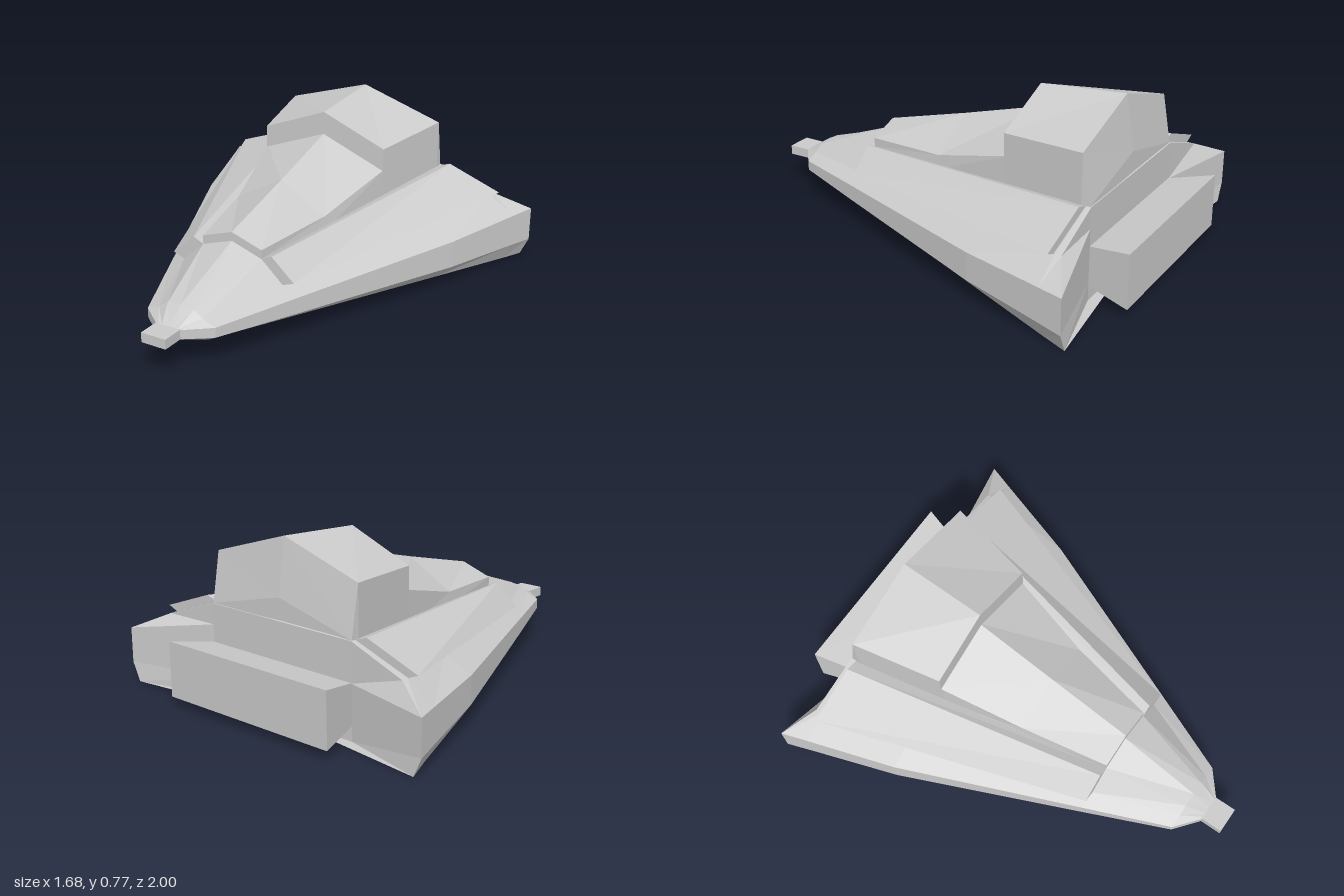
import * as THREE from 'three';

const material = new THREE.MeshStandardMaterial({ color: 0xcccccc, flatShading: true });

// Skin a list of rings (front to back, clockwise seen from the front) and cap both ends.
function loft(name, rings) {
  const pos = [];
  const tri = (...pts) => pts.forEach((p) => pos.push(...p));
  const n = rings[0].length;
  for (let i = 0; i < rings.length - 1; i++) {
    for (let j = 0; j < n; j++) {
      const k = (j + 1) % n;
      const [a, b, c, d] = [rings[i][j], rings[i][k], rings[i + 1][j], rings[i + 1][k]];
      tri(a, b, c);
      tri(b, d, c);
    }
  }
  const front = rings[0], back = rings[rings.length - 1];
  for (let j = 1; j < n - 1; j++) {
    tri(front[0], front[j + 1], front[j]);
    tri(back[0], back[j], back[j + 1]);
  }
  const geometry = new THREE.BufferGeometry();
  geometry.setAttribute('position', new THREE.Float32BufferAttribute(pos, 3));
  geometry.computeVertexNormals();
  const mesh = new THREE.Mesh(geometry, material);
  mesh.name = name;
  return mesh;
}

// Half section from top centre to bottom centre; a point may override the station's z.
const section = (z, half) => {
  const right = half.map(([x, y, pz = z]) => [x, y, pz]);
  const left = right.slice(1, -1).reverse().map(([x, y, pz]) => [-x, y, pz]);
  return [...right, ...left];
};
const mirrorRing = (ring) => ring.map(([x, y, z]) => [-x, y, z]).reverse();
const boxSection = (z, w, y0, y1) => section(z, [[0, y1], [w, y1], [w, y0], [0, y0]]);

export function createModel() {
  const model = new THREE.Group();

  // Wedge hull; the last section closes the swept-forward stern
  model.add(loft('hull', [
    section(0.9, [[0, 0.187], [0.03, 0.187], [0.05, 0.187], [0.06, 0.185], [0.06, 0.143], [0.05, 0.141], [0, 0.141]]),
    section(0.81, [[0, 0.245], [0.065, 0.238], [0.11, 0.21], [0.17, 0.185], [0.17, 0.14], [0.13, 0.12], [0, 0.12]]),
    section(0.43, [[0, 0.385], [0.15, 0.335], [0.255, 0.24], [0.33, 0.2], [0.33, 0.126], [0.28, 0.093], [0, 0.093]]),
    section(-0.38, [[0, 0.42], [0.317, 0.392], [0.533, 0.297], [0.67, 0.228], [0.67, 0.101], [0.6, 0.037], [0, 0.037]]),
    section(-0.78, [[0, 0.43], [0.4, 0.42], [0.67, 0.325], [0.8, 0.241], [0.8, 0.089], [0.755, 0.008], [0, 0.008]]),
    section(-0.9, [[0, 0.42, -0.8], [0.4, 0.42, -0.8], [0.67, 0.325, -0.81], [0.84, 0.245], [0.84, 0.085], [0.8, 0], [0, 0, -0.8]]),
    section(-0.8, [[0, 0.42], [0.4, 0.42], [0.4, 0.325], [0.4, 0.245], [0.4, 0.085], [0.4, 0], [0, 0]]),
  ]));

  // Nose block
  model.add(loft('noseBlock', [boxSection(1, 0.06, 0.143, 0.187), boxSection(0.89, 0.06, 0.143, 0.187)]));

  // Raised wing panels
  const panel = [
    [[0.2, 0.358, 0.43], [0.31, 0.26, 0.43], [0.255, 0.24, 0.43], [0.15, 0.335, 0.43]],
    [[0.46, 0.44, -0.775], [0.72, 0.345, -0.775], [0.67, 0.325, -0.775], [0.4, 0.42, -0.775]],
  ];
  model.add(loft('leftWingPanel', panel));
  model.add(loft('rightWingPanel', panel.map(mirrorRing)));

  // Sloping spine running up to the bridge
  model.add(loft('spine', [
    section(0.43, [[0, 0.426], [0.15, 0.376], [0.15, 0.335], [0, 0.335]]),
    section(0.03, [[0, 0.53], [0.228, 0.405], [0.235, 0.34], [0, 0.34]]),
    section(-0.36, [[0, 0.638], [0.315, 0.515], [0.318, 0.34], [0, 0.34]]),
  ]));

  // Tall bridge block with a ridged roof and raked back
  model.add(loft('bridge', [
    section(-0.35, [[0, 0.742], [0.315, 0.617], [0.315, 0.5], [0.315, 0.34], [0, 0.34]]),
    section(-0.755, [[0, 0.77], [0.4, 0.645], [0.4, 0.5], [0.4, 0.3], [0, 0.3]]),
    section(-0.795, [[0, 0.52], [0.4, 0.42], [0.4, 0.38], [0.4, 0.25], [0, 0.25]]),
  ]));

  // Flared engine block at the stern
  model.add(loft('engine', [boxSection(-0.78, 0.395, 0.07, 0.243), boxSection(-1, 0.455, 0.04, 0.287)]));

  return model;
}
